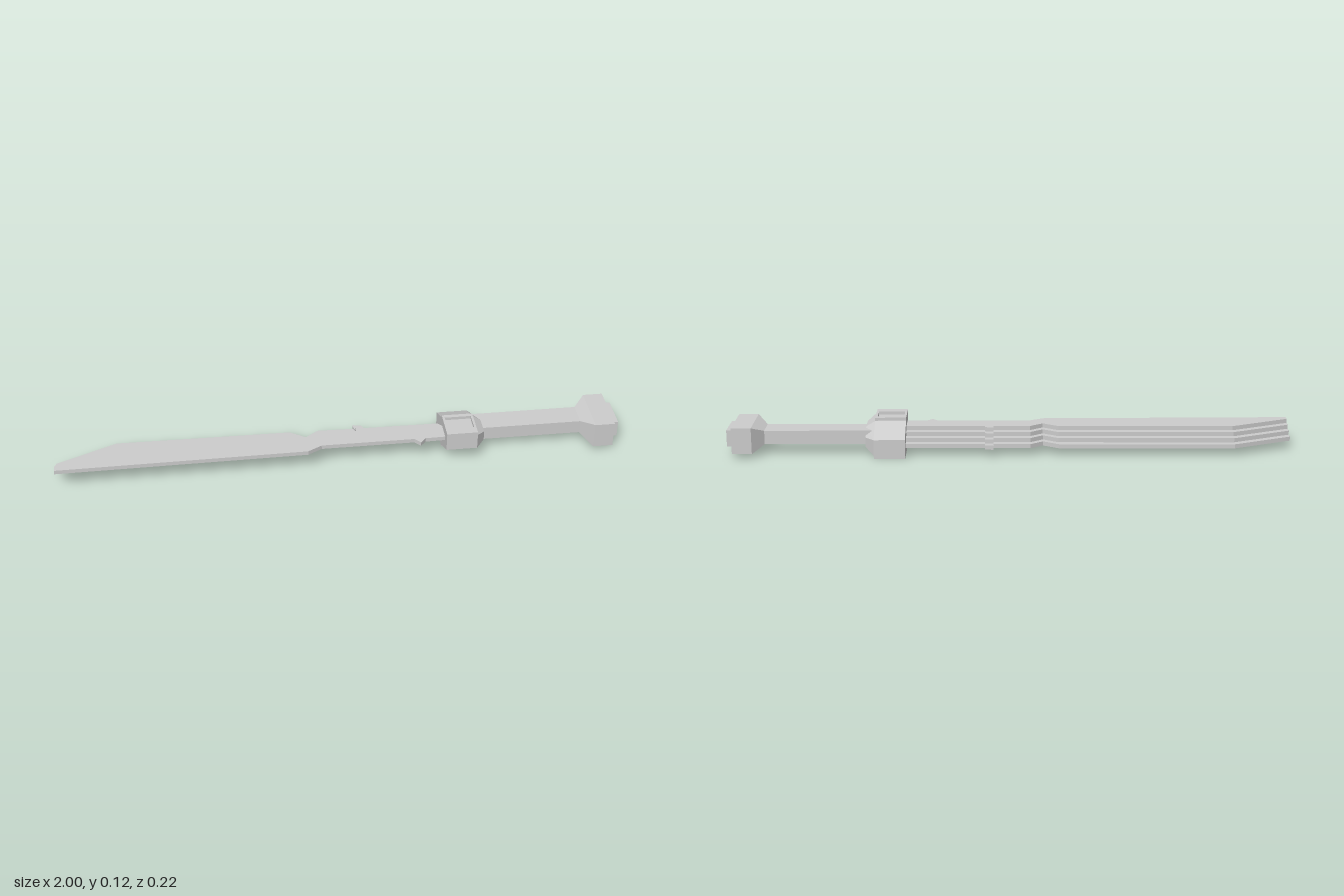
import * as THREE from 'three';

const material = new THREE.MeshStandardMaterial({ color: 0xcccccc, flatShading: true });

function addMesh(parent, name, geometry) {
  const mesh = new THREE.Mesh(geometry, material);
  mesh.name = name;
  parent.add(mesh);
  return mesh;
}

// Solid through sections [x, ring]; rings are [z, y] corners, counter-clockwise seen from +x
function loft(sections) {
  const n = sections[0][1].length;
  const pos = [], idx = [];
  for (const [x, ring] of sections) for (const [z, y] of ring) pos.push(x, y, z);
  for (let s = 0; s < sections.length - 1; s++) {
    for (let j = 0; j < n; j++) {
      const k = (j + 1) % n, a = s * n, b = a + n;
      idx.push(a + j, a + k, b + k, a + j, b + k, b + j);
    }
  }
  const end = (sections.length - 1) * n;
  for (let j = 1; j < n - 1; j++) {
    idx.push(0, j + 1, j, end, end + j, end + j + 1);
  }
  const g = new THREE.BufferGeometry();
  g.setAttribute('position', new THREE.Float32BufferAttribute(pos, 3));
  g.setIndex(idx);
  const flat = g.toNonIndexed();
  flat.computeVertexNormals();
  return flat;
}

const rect = (z0, z1, y0, y1) => [[z0, y0], [z0, y1], [z1, y1], [z1, y0]];

// Flat plate from an [x, z] outline, standing on y = 0
function plate(outline, thickness, hole) {
  const points = (list) => list.map(([x, z]) => new THREE.Vector2(x, -z));
  const shape = new THREE.Shape(points(outline));
  if (hole) shape.holes.push(new THREE.Path(points(hole)));
  const g = new THREE.ExtrudeGeometry(shape, { depth: thickness, bevelEnabled: false });
  return g.rotateX(-Math.PI / 2);
}

export function createModel() {
  const sword = new THREE.Group();
  sword.name = 'sword';

  // Blade: four identical plates, each stepped back from the one above
  const blade = new THREE.Group();
  blade.name = 'blade';
  sword.add(blade);
  const outline = [
    [-1, 0.105], [-0.12, 0.096], [-0.07, 0.068], [0.26, 0.068], [0.28, 0.09],
    [0.3, 0.068], [0.4, 0.066],
    [0.4, 0], [0.09, -0.003], [0.09, -0.02], [0.06, -0.025], [0.06, -0.003],
    [-0.07, -0.006], [-0.115, 0.028], [-0.17, -0.008], [-0.79, -0.013], [-1, 0.082],
  ];
  for (let i = 0; i < 4; i++) {
    const layer = addMesh(blade, 'bladePlate', plate(outline, 0.015, null));
    layer.position.set(0, 0.074 - i * 0.015, -i * 0.025);
  }

  // Guard: skewed hexagonal block that tapers onto the handle
  const cz = -0.005, cy = 0.0615;
  const hex = [
    [0.1, 0.055], [0.01, 0.011], [-0.11, 0.011],
    [-0.11, 0.068], [-0.02, 0.112], [0.1, 0.112],
  ];
  const small = hex.map(([z, y]) => [cz + (z - cz) * 0.58, cy + (y - cy) * 0.6]);
  const guard = new THREE.Group();
  guard.name = 'guard';
  sword.add(guard);
  addMesh(guard, 'guardBlock', loft([[0.37, hex], [0.48, hex], [0.512, small]]));

  // Raised frames on the guard, one above and its half-turn copy below
  const frame = plate(
    [[0.37, 0.1], [0.48, 0.1], [0.48, -0.015], [0.37, -0.015]], 0.0115,
    [[0.378, 0.066], [0.472, 0.066], [0.472, 0], [0.378, 0]],
  );
  const topFrame = addMesh(guard, 'topFrame', frame);
  topFrame.position.y = 0.1115;
  const bottomFrame = addMesh(guard, 'bottomFrame', frame);
  bottomFrame.rotation.x = Math.PI;
  bottomFrame.position.set(0, 0.0115, -0.01);

  // Handle
  const grip = rect(-0.058, 0.03, 0.039, 0.088);
  addMesh(sword, 'handle', loft([[0.49, grip], [0.88, grip]]));

  // Pommel: flared block with an end plate
  const block = rect(-0.1, 0.088, 0.015, 0.109);
  addMesh(sword, 'pommel', loft([[0.868, grip], [0.908, block], [0.978, block]]));
  const cap = rect(-0.066, 0.056, 0.033, 0.092);
  addMesh(sword, 'endPlate', loft([[0.97, cap], [1, cap]]));

  return sword;
}
